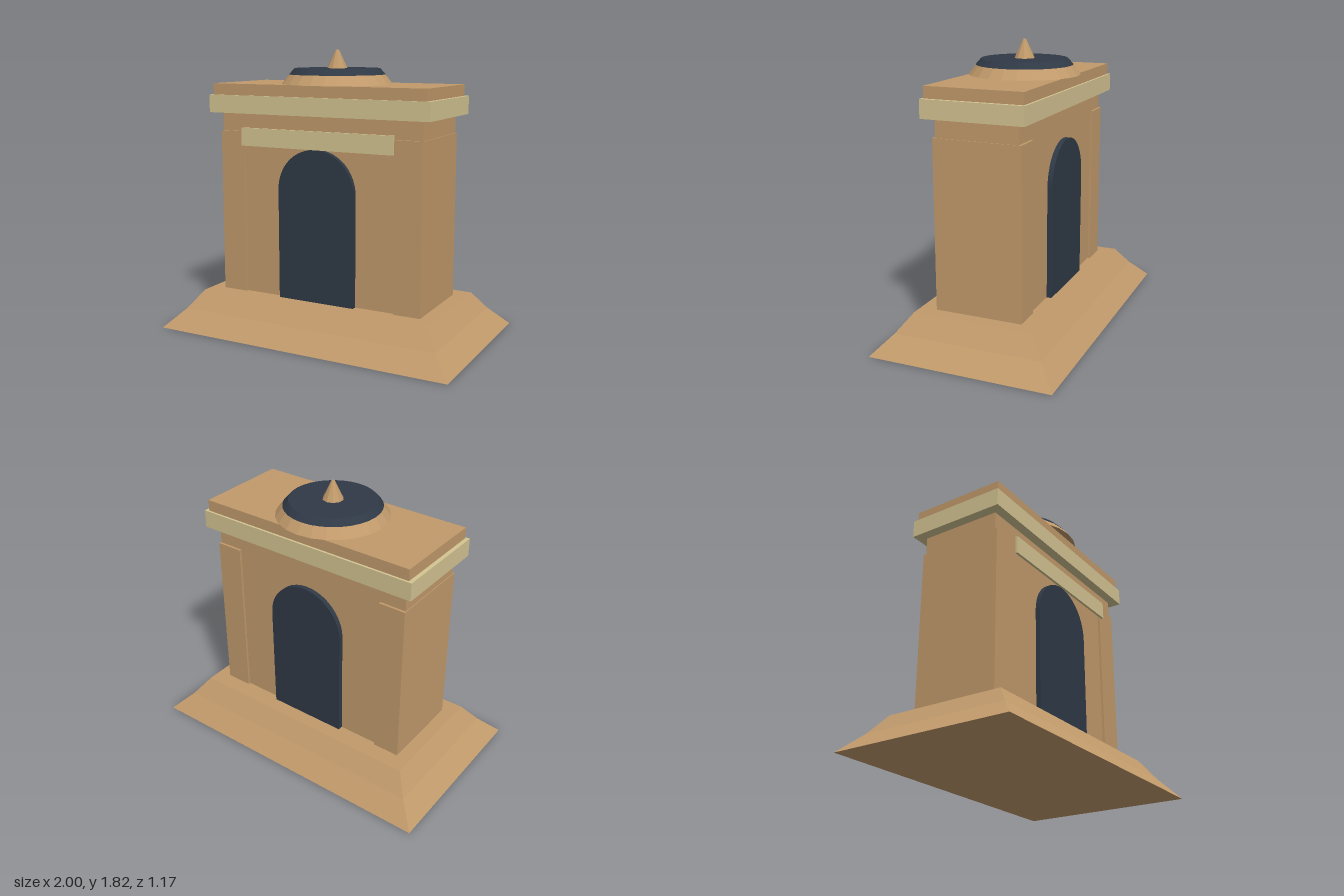
import * as THREE from 'three';

const mat = (name, color) => {
  const m = new THREE.MeshStandardMaterial({ color });
  m.name = name;
  return m;
};

export function createModel() {
  const group = new THREE.Group();
  const sandstone = mat('sandstone', 0xc19a6b);
  const cream = mat('cream stone', 0xd4c492);
  const slate = mat('dark slate', 0x2f3946);
  sandstone.flatShading = slate.flatShading = true;

  const add = (name, geometry, material, x = 0, y = 0, z = 0) => {
    const mesh = new THREE.Mesh(geometry, material);
    mesh.name = name;
    mesh.position.set(x, y, z);
    group.add(mesh);
    return mesh;
  };
  // Box centred on x and z, given by half sizes and bottom/top heights
  const block = (name, hx, hz, y0, y1, material, x = 0, z = 0) =>
    add(name, new THREE.BoxGeometry(hx * 2, y1 - y0, hz * 2), material, x, (y0 + y1) / 2, z);
  // Box whose top is a smaller rectangle
  const taperedBlock = (name, [x0, z0, y0], [x1, z1, y1]) => {
    const g = new THREE.BoxGeometry(2, y1 - y0, 2);
    const p = g.attributes.position;
    for (let i = 0; i < p.count; i++) {
      const top = p.getY(i) > 0;
      p.setX(i, p.getX(i) * (top ? x1 : x0));
      p.setZ(i, p.getZ(i) * (top ? z1 : z0));
    }
    g.computeVertexNormals();
    add(name, g, sandstone, 0, (y0 + y1) / 2, 0);
  };

  // Flared plinth in two slopes
  const plinth = [[1, 0.585, 0], [0.88, 0.473, 0.12], [0.793, 0.385, 0.238]];
  taperedBlock('lowerPlinth', plinth[0], plinth[1]);
  taperedBlock('upperPlinth', plinth[1], plinth[2]);

  // Main wall with corner pilasters
  block('wall', 0.7, 0.263, 0.238, 1.416, sandstone);
  for (const side of [-1, 1]) {
    block('pilasters', 0.0875, 0.279, 0.238, 1.298, sandstone, side * 0.6175);
  }

  // Arched doorway showing on both faces
  const r = 0.265, spring = 0.945;
  const arch = new THREE.Shape();
  arch.moveTo(-r, 0.238);
  arch.lineTo(r, 0.238);
  arch.lineTo(r, spring);
  arch.absarc(0, spring, r, 0, Math.PI, false);
  arch.closePath();
  const door = new THREE.ExtrudeGeometry(arch, { depth: 0.59, bevelEnabled: false, curveSegments: 16 });
  add('archedDoor', door, slate, 0, 0, -0.295);

  // Lintel panel above the front door
  block('lintelPanel', 0.53, 0.008, 1.21, 1.325, cream, 0, 0.3);

  // Cornice and attic
  block('cornice', 0.763, 0.324, 1.416, 1.53, cream);
  block('attic', 0.738, 0.31, 1.53, 1.602, sandstone);

  // Low round roof: flared ring, dark cap and pointed finial
  const drum = (name, top, bottom, y0, y1, sides, material) =>
    add(name, new THREE.CylinderGeometry(top, bottom, y1 - y0, sides), material, 0, (y0 + y1) / 2, 0);
  drum('roofRing', 0.302, 0.352, 1.602, 1.665, 24, sandstone);
  drum('roofCap', 0.272, 0.306, 1.662, 1.7, 32, slate);
  drum('finial', 0.01, 0.065, 1.7, 1.817, 10, sandstone);

  return group;
}
